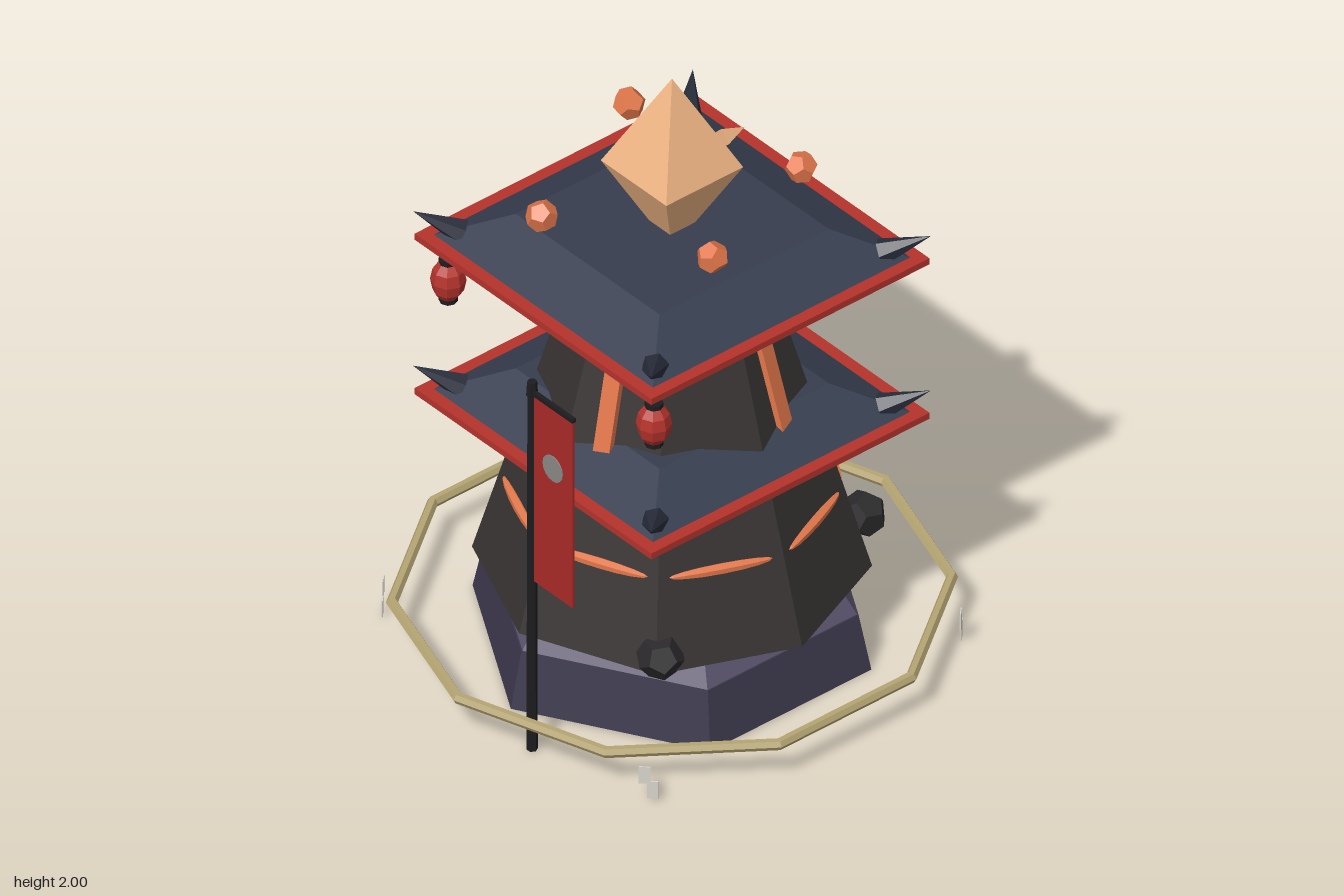
import * as THREE from 'three';

const mat = (color, side = THREE.FrontSide) =>
  new THREE.MeshStandardMaterial({ color, flatShading: true, side });

const M = {
  base: mat(0x3d394e), plinth: mat(0x5b556e), tower: mat(0x383333), roof: mat(0x363d4e),
  red: mat(0xb5332c), flag: mat(0xa82a26, THREE.DoubleSide), horn: mat(0x272c3a),
  orange: mat(0xe0764a), crystal: mat(0xf0b584), gold: mat(0xb5a573),
  black: mat(0x1d1c1f), rock: mat(0x2b292b), paper: mat(0xd8d6cc, THREE.DoubleSide),
  disc: mat(0x8a8784),
};

const Y = new THREE.Vector3(0, 1, 0);
const ROOT2 = Math.SQRT2;

// Tower radius at a given height
const towerRadius = (y) => 0.588 - 0.29 * (y - 0.26);

export function createModel() {
  const model = new THREE.Group();

  const add = (name, geo, material, x = 0, y = 0, z = 0, parent = model) => {
    const mesh = new THREE.Mesh(geo, material);
    mesh.name = name;
    mesh.position.set(x, y, z);
    parent.add(mesh);
    return mesh;
  };
  // Frustum standing between two heights
  const frustum = (name, r0, r1, y0, y1, sides, material, turn = 0) => {
    const m = add(name, new THREE.CylinderGeometry(r1, r0, y1 - y0, sides), material, 0, (y0 + y1) / 2, 0);
    m.rotation.y = turn;
    return m;
  };
  // Group turned to face outward at an angle measured from +z
  const spoke = (name, angle) => {
    const g = new THREE.Group();
    g.name = name;
    g.rotation.y = angle;
    model.add(g);
    return g;
  };

  // Hexagonal base and octagonal tower
  frustum('base', 0.62, 0.58, 0, 0.19, 6, M.base, Math.PI / 2);
  frustum('plinth', 0.575, 0.525, 0.19, 0.27, 6, M.plinth, Math.PI / 2);
  frustum('tower', towerRadius(0.26), towerRadius(1.375), 0.26, 1.375, 8, M.tower);

  // Two square roofs with red eaves and corner horns
  for (const y of [0.805, 1.368]) {
    add('eave', new THREE.BoxGeometry(1.07, 0.022, 1.07), M.red, 0, y + 0.011, 0);
    frustum('roof', 0.495 * ROOT2, 0.325 * ROOT2, y + 0.022, y + 0.112, 4, M.roof, Math.PI / 4);
    for (const sx of [-1, 1]) for (const sz of [-1, 1]) {
      const horn = add('horn', new THREE.ConeGeometry(0.042, 0.16, 6), M.horn,
        sx * 0.487, y + 0.07, sz * 0.487);
      horn.quaternion.setFromUnitVectors(Y, new THREE.Vector3(sx * 0.1, 0.065, sz * 0.1).normalize());
    }
  }

  // Glowing strips leaning against the tower, alternately tall and short
  for (let k = 0; k < 4; k++) {
    const y0 = 0.72, y1 = k % 2 ? 1.2 : 1.37;
    const lean = Math.atan(0.268), mid = (y0 + y1) / 2;
    const g = spoke('stripMount', THREE.MathUtils.degToRad(18) + k * Math.PI / 2);
    const strip = add('glowStrip', new THREE.BoxGeometry(0.055, (y1 - y0) / Math.cos(lean), 0.03),
      M.orange, 0, mid, towerRadius(mid) * 0.927 + 0.006, g);
    strip.rotation.x = -lean;
  }

  // Spindle-shaped cracks, one on each tower face
  for (let k = 0; k < 8; k++) {
    const g = spoke('crackMount', Math.PI / 8 + k * Math.PI / 4);
    const geo = new THREE.SphereGeometry(1, 6, 8).rotateZ(Math.PI / 2).scale(0.16, 0.016, 0.022);
    add('crack', geo, M.orange, 0, 0.545, towerRadius(0.545) * 0.924, g);
  }

  // Rocks stuck to the lower tower
  [[0.52, 0.31, 0.255], [0.06, 0.31, -0.55], [-0.385, 0.305, 0.4]].forEach(([x, y, z], i) => {
    add('rock', new THREE.DodecahedronGeometry(0.072), M.rock, x, y, z).rotation.set(0.4 * i, 0.7 * i + 0.3, 0.2);
  });

  // Crystal, its side spike and the orbs around it
  const crystal = add('crystal', new THREE.OctahedronGeometry(1).rotateY(Math.PI / 4), M.crystal, 0, 1.69, 0);
  crystal.scale.set(0.148 * ROOT2, 0.31, 0.148 * ROOT2);
  add('spike', new THREE.ConeGeometry(0.035, 0.09, 4).rotateZ(-Math.PI / 2), M.crystal, 0.235, 1.69, 0);
  [[0.15, 1.63, -0.37], [-0.37, 1.59, -0.155], [0.365, 1.59, 0.155], [-0.155, 1.63, 0.365]]
    .forEach(([x, y, z], i) => {
      add('orb', new THREE.DodecahedronGeometry(0.05), M.orange, x, y, z).rotation.set(0.3, i * Math.PI / 2, 0.2);
    });

  // Lanterns hanging from the eaves on one side
  for (const z of [-0.465, 0.465]) {
    const lantern = new THREE.Group();
    lantern.name = 'lantern';
    lantern.position.set(-0.465, 1.23, z);
    model.add(lantern);
    add('lanternBody', new THREE.SphereGeometry(0.054, 8, 6).scale(1, 1.35, 1), M.red, 0, 0, 0, lantern);
    for (const s of [-1, 1])
      add('lanternCap', new THREE.CylinderGeometry(0.028, 0.028, 0.018, 8), M.black, 0, s * 0.068, 0, lantern);
    add('lanternCord', new THREE.CylinderGeometry(0.004, 0.004, 0.08, 4), M.black, 0, 0.105, 0, lantern);
  }

  // Banner on a pole
  const px = -0.7, pz = 0.19;
  add('pole', new THREE.CylinderGeometry(0.014, 0.017, 1.31, 6), M.black, px, 0.655, pz);
  add('poleKnob', new THREE.CylinderGeometry(0.015, 0.018, 0.05, 6), M.black, px, 1.315, pz);
  add('bannerBar', new THREE.BoxGeometry(0.014, 0.014, 0.19), M.black, px, 1.302, pz + 0.095);
  add('banner', new THREE.BoxGeometry(0.008, 0.68, 0.175), M.flag, px, 0.96, pz + 0.1);
  add('bannerDisc', new THREE.CylinderGeometry(0.045, 0.045, 0.014, 16).rotateZ(Math.PI / 2),
    M.disc, px, 1.08, pz + 0.1);

  // Ten-sided ring around the base
  add('ring', new THREE.TorusGeometry(0.823, 0.018, 6, 10).rotateX(Math.PI / 2), M.gold, 0, 0.137, 0);

  // Zigzag paper streamers on the diagonals
  for (let k = 0; k < 4; k++) {
    const g = spoke('streamer', Math.PI / 4 + k * Math.PI / 2);
    add('streamerUpper', new THREE.BoxGeometry(0.035, 0.06, 0.004), M.paper, -0.012, 0.088, 0.85, g);
    add('streamerLower', new THREE.BoxGeometry(0.035, 0.06, 0.004), M.paper, 0.012, 0.036, 0.85, g);
  }

  return model;
}
